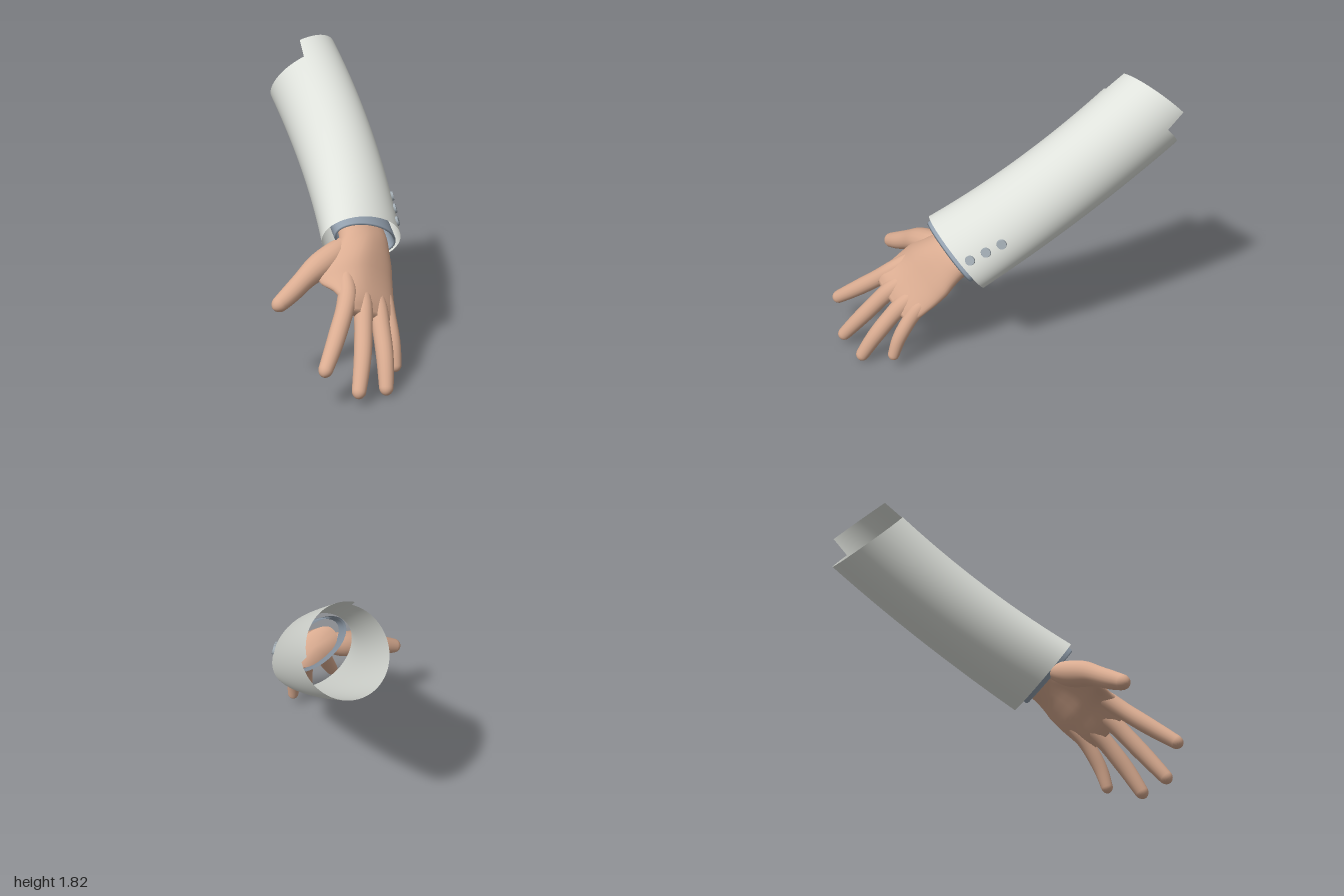
import * as THREE from 'three';

// Arm frame: D runs down the arm, A points out of the back of the hand, E towards the little finger
const D = new THREE.Vector3(1, -1, 1).normalize();
const A = new THREE.Vector3(1, 1, 0).normalize();
const E = new THREE.Vector3(1, -1, -2).normalize();
const at = (s, a, e) => new THREE.Vector3().addScaledVector(D, s).addScaledVector(A, a).addScaledVector(E, e);

// Skin a list of closed rings, each an array of points
function loft(rings) {
  const n = rings[0].length, index = [];
  for (let i = 0; i < rings.length - 1; i++) {
    for (let j = 0; j < n; j++) {
      const p = i * n + j, q = i * n + (j + 1) % n;
      index.push(p, p + n, q, q, p + n, q + n);
    }
  }
  const geo = new THREE.BufferGeometry().setFromPoints(rings.flat());
  geo.setIndex(index);
  geo.computeVertexNormals();
  return geo;
}

const ring = (n, f) => Array.from({ length: n }, (_, j) => f((j / n) * Math.PI * 2));

// Jacket sleeve: centre and radii vary smoothly through three stations
function through(v, s) {
  const [p, q, r] = [-1.56, -0.85, -0.22];
  return v[0] * (s - q) * (s - r) / ((p - q) * (p - r))
    + v[1] * (s - p) * (s - r) / ((q - p) * (q - r))
    + v[2] * (s - p) * (s - q) / ((r - p) * (r - q));
}
function sleevePoint(s, phi) {
  return at(s,
    through([0.757, 0.757, 0.735], s) + through([0.265, 0.243, 0.204], s) * Math.cos(phi),
    through([-0.252, -0.248, -0.312], s) + through([0.262, 0.262, 0.284], s) * Math.sin(phi));
}

// Upper rim: slanted, with a raised flap on one side
function topRim(phi) {
  const deg = THREE.MathUtils.radToDeg(Math.atan2(Math.sin(phi), Math.cos(phi)));
  const up = THREE.MathUtils.clamp((deg + 50) / 5, 0, 1);
  const down = THREE.MathUtils.clamp((65 - deg) / 5, 0, 1);
  return -1.56 - 0.078 * Math.sin(phi) - 0.135 * Math.min(up, down);
}
function sleeveGeometry() {
  const rings = [];
  for (let i = 0; i <= 28; i++) {
    rings.push(ring(72, (phi) => sleevePoint(THREE.MathUtils.lerp(topRim(phi), -0.18, i / 28), phi)));
  }
  return loft(rings);
}

// Shirt cuff: a thin band with an inner and an outer wall
function cuffGeometry() {
  const wall = [[-0.33, 0.128, 0.238], [-0.155, 0.128, 0.238], [-0.145, 0.122, 0.232], [-0.155, 0.114, 0.224], [-0.33, 0.114, 0.224]];
  return loft(wall.map(([s, ra, re]) =>
    ring(48, (p) => at(s, 0.768 + ra * Math.cos(p), -0.33 + re * Math.sin(p)))));
}

// Palm and wrist: flattened sections [s, a, e, thickness radius, width radius, curl towards the thumb]
function palmGeometry() {
  const st = [
    [-0.32, 0.755, -0.32, 0.09, 0.165, 0],
    [-0.15, 0.755, -0.325, 0.09, 0.17, 0.03],
    [-0.05, 0.735, -0.36, 0.084, 0.208, 0.11],
    [0.03, 0.71, -0.383, 0.077, 0.24, 0.15],
    [0.10, 0.687, -0.385, 0.07, 0.238, 0.12],
    [0.18, 0.667, -0.377, 0.06, 0.222, 0.05],
    [0.28, 0.645, -0.375, 0.05, 0.205, 0],
    [0.345, 0.632, -0.375, 0.03, 0.165, 0],
  ];
  const mid = new THREE.CatmullRomCurve3(st.map((v) => new THREE.Vector3(v[0], v[1], v[2])));
  const rad = new THREE.CatmullRomCurve3(st.map((v) => new THREE.Vector3(v[3], v[4], v[5])));
  const pow = (v) => Math.sign(v) * Math.abs(v) ** 0.85;
  const section = (t, k) => {
    const c = mid.getPoint(t), r = rad.getPoint(t);
    return ring(40, (p) => {
      const w = k * pow(Math.sin(p));
      return at(c.x, c.y + k * r.x * pow(Math.cos(p)) - r.z * Math.min(w, 0) ** 2, c.z + r.y * w);
    });
  };
  const rings = [section(0, 0.001), section(0, 1)];
  for (let i = 1; i <= 28; i++) rings.push(section(i / 28, 1));
  rings.push(section(1, 0.001));
  return loft(rings);
}

// Finger or thumb: round sections along a curve, with a rounded tip
function fingerGeometry(points, radii) {
  const curve = new THREE.CatmullRomCurve3(points.map((p) => new THREE.Vector3(...p)));
  const rad = new THREE.SplineCurve(radii.map((r, i) => new THREE.Vector2(i, r)));
  const tip = 1 - radii[radii.length - 1] * 1.15 / curve.getLength();
  const rings = [], stops = [];
  for (let i = 0; i <= 20; i++) stops.push([tip * i / 20, 1]);
  for (let i = 1; i <= 7; i++) {
    const h = (i / 7) * Math.PI / 2;
    stops.push([Math.min(tip + (1 - tip) * Math.sin(h), 1), Math.max(Math.cos(h), 0.001)]);
  }
  for (const [t, k] of stops) {
    const c = curve.getPointAt(t), T = curve.getTangentAt(t);
    const n = A.clone().addScaledVector(T, -A.dot(T)).normalize();
    const b = n.clone().cross(T);
    const r = rad.getPoint(t).y * k;
    rings.push(ring(18, (p) => c.clone().addScaledVector(n, r * Math.cos(p)).addScaledVector(b, r * Math.sin(p))));
  }
  return loft(rings);
}

export function createModel() {
  const group = new THREE.Group();
  const material = (name, color, side = THREE.FrontSide) => {
    const m = new THREE.MeshStandardMaterial({ color, side });
    m.name = name;
    return m;
  };
  const cloth = material('pale cloth', 0xdfe2dc, THREE.DoubleSide);
  const greyBlue = material('grey blue', 0x93a0ae, THREE.DoubleSide);
  const buttonGrey = material('button grey', 0xa3adb4);
  const skin = material('skin', 0xdaac91);
  const add = (name, geo, mat, parent = group) => {
    const mesh = new THREE.Mesh(geo, mat);
    mesh.name = name;
    parent.add(mesh);
    return mesh;
  };

  add('sleeve', sleeveGeometry(), cloth);
  add('shirtCuff', cuffGeometry(), greyBlue);

  // Row of sleeve buttons
  for (const [s, phi] of [[-0.24, 0.63], [-0.345, 0.69], [-0.45, 0.75]]) {
    const p = sleevePoint(s, phi);
    const along = sleevePoint(s + 0.01, phi).sub(p);
    const normal = along.cross(sleevePoint(s, phi + 0.01).sub(p)).normalize();
    const button = add('sleeveButton', new THREE.CylinderGeometry(0.028, 0.031, 0.014, 24), buttonGrey);
    button.position.copy(p).addScaledVector(normal, 0.005);
    button.quaternion.setFromUnitVectors(new THREE.Vector3(0, 1, 0), normal);
  }

  // Hand
  const hand = new THREE.Group();
  hand.name = 'hand';
  group.add(hand);
  add('palm', palmGeometry(), skin, hand);
  const fingers = {
    indexFinger: [[0.31, 0.63, 0.46], [0.37, 0.53, 0.58], [0.395, 0.37, 0.78], [0.405, 0.205, 0.995]],
    middleFinger: [[0.39, 0.56, 0.42], [0.45, 0.46, 0.53], [0.52, 0.25, 0.70], [0.56, 0.045, 0.86]],
    ringFinger: [[0.44, 0.51, 0.33], [0.51, 0.40, 0.43], [0.60, 0.20, 0.56], [0.655, 0.005, 0.665]],
    littleFinger: [[0.45, 0.51, 0.24], [0.515, 0.40, 0.32], [0.59, 0.22, 0.40], [0.625, 0.06, 0.44]],
  };
  for (const [name, path] of Object.entries(fingers)) {
    const k = name === 'littleFinger' ? 0.86 : 1;
    const radii = [0.044, 0.056, 0.053, 0.052, 0.047, 0.04].map((r) => r * k);
    add(name, fingerGeometry(path, radii), skin, hand);
  }
  add('thumb', fingerGeometry(
    [[0.25, 0.76, 0.24], [0.195, 0.7, 0.38], [0.13, 0.64, 0.53], [0.06, 0.54, 0.71], [0.015, 0.485, 0.815]],
    [0.05, 0.078, 0.08, 0.063, 0.056, 0.044]), skin, hand);
  return group;
}
